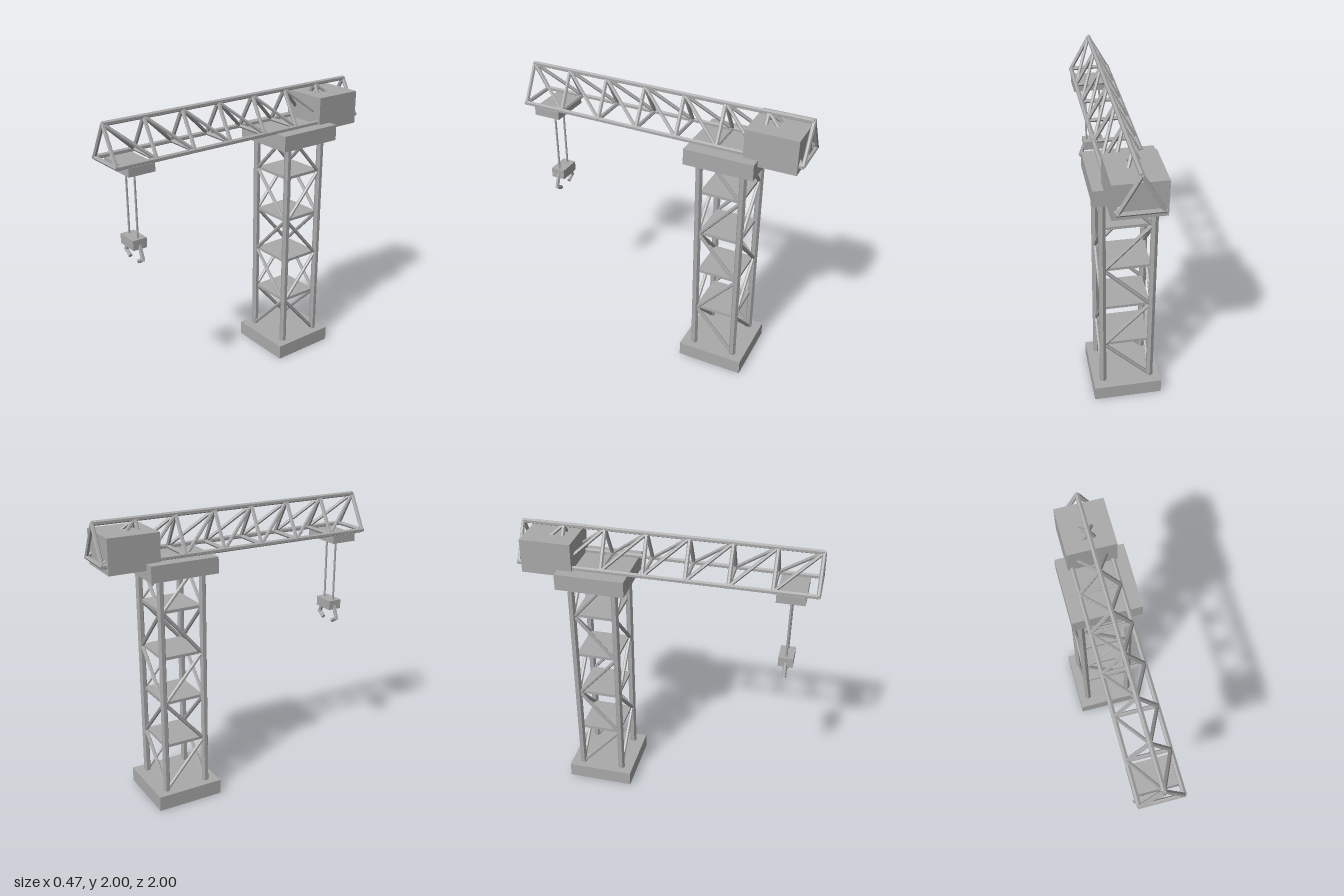
import * as THREE from 'three';

const steel = new THREE.MeshStandardMaterial({ color: 0xaaaaaa, flatShading: true });
steel.name = 'steel grey';

export function createModel() {
  const crane = new THREE.Group();
  crane.name = 'towerCrane';

  const group = (name) => {
    const g = new THREE.Group();
    g.name = name;
    crane.add(g);
    return g;
  };

  const box = (parent, name, size, pos) => {
    const m = new THREE.Mesh(new THREE.BoxGeometry(...size), steel);
    m.name = name;
    m.position.set(...pos);
    parent.add(m);
  };

  // Six-sided bar between two points
  const up = new THREE.Vector3(0, 1, 0);
  const bar = (parent, name, a, b, r) => {
    const p = new THREE.Vector3(...a);
    const q = new THREE.Vector3(...b);
    const dir = q.clone().sub(p);
    const m = new THREE.Mesh(new THREE.CylinderGeometry(r, r, dir.length(), 6), steel);
    m.name = name;
    m.position.copy(p).add(q).multiplyScalar(0.5);
    m.quaternion.setFromUnitVectors(up, dir.normalize());
    parent.add(m);
  };

  // Tower: base, columns, floors and zigzag bracing
  const tower = group('tower');
  const tz = -0.475, cx = 0.165, cz = 0.15;
  box(tower, 'base', [0.47, 0.105, 0.47], [0, 0.0525, tz]);
  box(tower, 'topPlatform', [0.465, 0.11, 0.47], [0, 1.678, tz]);
  for (const sx of [-1, 1])
    for (const sz of [-1, 1])
      bar(tower, 'column', [sx * cx, 0.09, tz + sz * cz], [sx * cx, 1.64, tz + sz * cz], 0.025);

  const y0 = 0.115, bay = 0.32;
  for (let i = 0; i < 5; i++) {
    const s = i % 2 ? 1 : -1;
    const lo = y0 + i * bay;
    if (i > 0) box(tower, 'floor', [0.31, 0.02, 0.29], [0, lo, tz]);
    // the last bay stops inside the platform
    const t = i === 4 ? 0.8 : 1;
    const hi = lo + bay * t;
    const e = s * (1 - 2 * t);
    for (const side of [-1, 1]) {
      bar(tower, 'brace', [s * 0.155, lo, tz + side * cz], [e * 0.155, hi, tz + side * cz], 0.013);
      bar(tower, 'brace', [side * cx, lo, tz + s * 0.14], [side * cx, hi, tz + e * 0.14], 0.013);
    }
  }

  // Boom: triangular truss with three chords
  const boom = group('boom');
  const end = 0.985, topY = 1.984, lowY = 1.745, bx = 0.135;
  bar(boom, 'topChord', [0, topY, -end], [0, topY, end], 0.0165);
  for (const s of [-1, 1])
    bar(boom, 'bottomChord', [s * bx, lowY, -end], [s * bx, lowY, end], 0.0165);

  const step = (2 * end) / 7;
  for (let k = 0; k < 8; k++) {
    const z = end - k * step;
    bar(boom, 'crossBar', [-bx - 0.01, lowY, z], [bx + 0.01, lowY, z], 0.014);
    for (const s of [-1, 1]) {
      bar(boom, 'frameLeg', [0, topY, z], [s * bx, lowY, z], 0.014);
      if (k < 7) bar(boom, 'diagonal', [0, topY, z], [s * bx, lowY, z - step], 0.012);
    }
  }

  box(crane, 'counterweight', [0.33, 0.232, 0.347], [0, 1.806, -0.785]);

  // Trolley, cables and gripper
  const hoist = group('hoist');
  const hz = 0.82;
  box(hoist, 'trolley', [0.294, 0.056, 0.187], [0, 1.704, hz]);
  box(hoist, 'gripperBlock', [0.156, 0.068, 0.1], [0, 1.191, hz]);
  for (const s of [-1, 1]) {
    bar(hoist, 'cable', [s * 0.052, 1.2, hz], [s * 0.052, 1.69, hz], 0.008);
    bar(hoist, 'upperClaw', [s * 0.067, 1.185, hz], [s * 0.103, 1.088, hz], 0.015);
    bar(hoist, 'lowerClaw', [s * 0.105, 1.095, hz], [s * 0.052, 1.062, hz], 0.015);
  }

  return crane;
}
